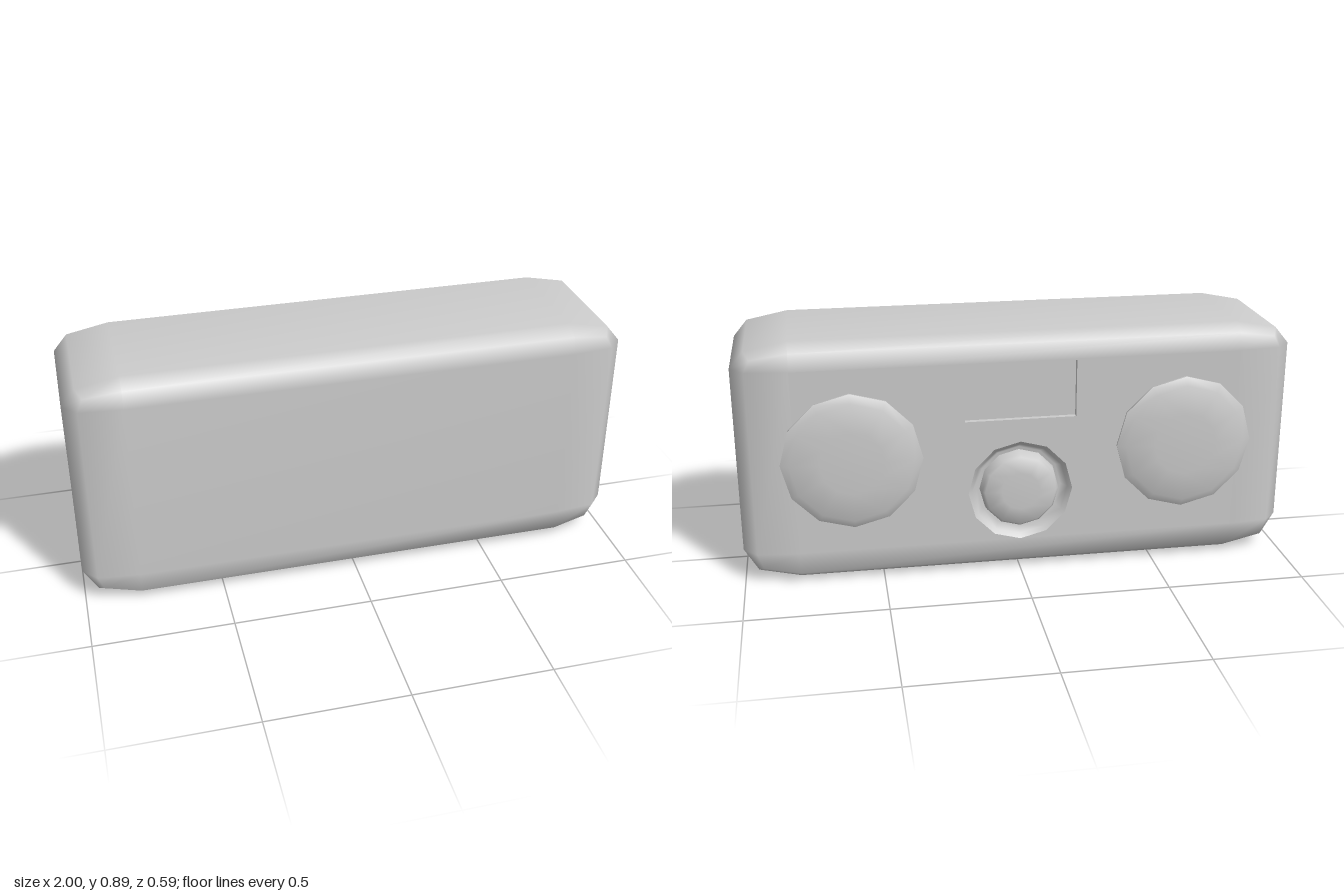
import * as THREE from 'three';
import { mergeVertices, toCreasedNormals } from 'three/addons/utils/BufferGeometryUtils.js';

const BACK = -0.26;
const SIDES = 12;

// Two-step rounded coordinates per axis, as [low, high] pairs:
// full face plane, inner edge of the face, edge bevel, corner bevel
const LEVELS = {
  full: [[-1, 1], [0, 0.89], [BACK, 0.295]],
  inner: [[-0.8, 0.8], [0.12, 0.8], [-0.19, 0.225]],
  edge: [[-0.95, 0.95], [0.035, 0.86], [-0.245, 0.28]],
  corner: [[-0.93, 0.93], [0.06, 0.84], [-0.235, 0.265]],
};

// Rounded body; the flat middle of the back is left open for the back panel
function bodyGeometry() {
  let geo = new THREE.BoxGeometry(3, 3, 3, 3, 3, 3);
  geo.deleteAttribute('uv');
  geo.deleteAttribute('normal');
  geo = mergeVertices(geo);
  const pos = geo.attributes.position;
  for (let i = 0; i < pos.count; i++) {
    const p = [pos.getX(i), pos.getY(i), pos.getZ(i)];
    const outer = p.map((c) => Math.abs(c) > 1);
    const level = LEVELS[['inner', 'full', 'edge', 'corner'][outer.filter(Boolean).length]];
    const q = p.map((c, a) => (outer[a] ? level : LEVELS.inner)[a][c > 0 ? 1 : 0]);
    pos.setXYZ(i, ...q);
  }
  geo.computeVertexNormals();
  const index = Array.from(geo.index.array);
  const kept = [];
  for (let i = 0; i < index.length; i += 3) {
    const tri = index.slice(i, i + 3);
    if (!tri.every((v) => Math.abs(pos.getZ(v) - BACK) < 1e-4)) kept.push(...tri);
  }
  geo.setIndex(kept);
  return geo;
}

// Closed outline from corner pairs
const outline = (Type, pts) => new Type(pts.map(([x, y]) => new THREE.Vector2(x, y)));
const rect = (x, y0, y1) => [[-x, y0], [x, y0], [x, y1], [-x, y1]];

export function createModel() {
  const model = new THREE.Group();
  const material = new THREE.MeshStandardMaterial({ color: 0xcccccc });
  const add = (name, geo, x = 0, y = 0, z = 0) => {
    const mesh = new THREE.Mesh(geo, material);
    mesh.name = name;
    mesh.position.set(x, y, z);
    model.add(mesh);
    return mesh;
  };
  // Round part whose axis points out of the back; profile is [radius, height]
  const turned = (profile, crease) => {
    const geo = new THREE.LatheGeometry(profile.map(([r, h]) => new THREE.Vector2(r, h)), SIDES);
    geo.rotateX(-Math.PI / 2);
    return crease ? toCreasedNormals(geo, crease) : geo;
  };

  add('body', bodyGeometry());

  // Back panel with a round opening and a shallow rectangular recess
  const lensY = 0.31, lensR = 0.19, depth = 0.02;
  const panel = outline(THREE.Shape, rect(0.8, 0.12, 0.8));
  const circle = [];
  for (let i = 0; i < SIDES; i++) {
    const a = (i / SIDES) * Math.PI * 2;
    circle.push([lensR * Math.sin(a), lensY + lensR * Math.cos(a)]);
  }
  panel.holes.push(outline(THREE.Path, circle), outline(THREE.Path, rect(0.2, 0.585, 0.795)));
  add('backPanel', new THREE.ExtrudeGeometry(panel, { depth, bevelEnabled: false }), 0, 0, BACK);

  const floor = new THREE.PlaneGeometry(0.4, 0.21).rotateY(Math.PI);
  add('recessFloor', floor, 0, 0.69, BACK + depth - 0.001);

  // Dished socket with a domed button in it
  add('socket', turned([[lensR, 0], [0.175, -0.015], [0.155, -0.045], [0, -0.05]]), 0, lensY, BACK);
  add('button', turned([[0.145, -0.05], [0.14, -0.01], [0.13, 0.002], [0.07, 0.006], [0, 0.007]], 0.9),
    0, lensY, BACK);

  // Pair of low domed discs
  for (const side of [-1, 1]) {
    add(side > 0 ? 'leftDisc' : 'rightDisc',
      turned([[0.245, -0.03], [0.25, 0.01], [0.22, 0.026], [0.115, 0.033], [0, 0.035]], 0.9),
      side * 0.6, 0.465, BACK);
  }
  return model;
}
